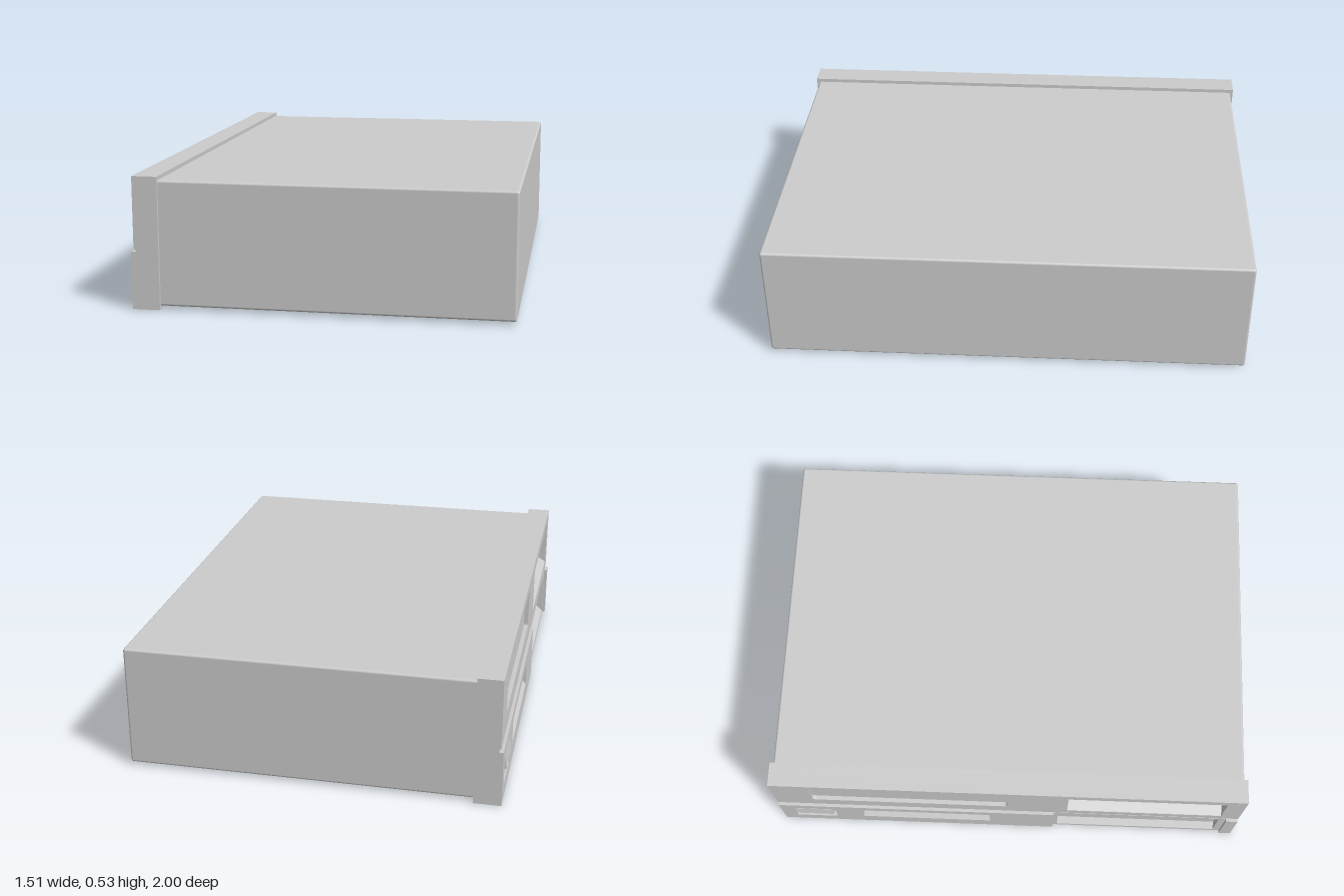
import * as THREE from 'three';
import { RoundedBoxGeometry } from 'three/addons/geometries/RoundedBoxGeometry.js';

const material = new THREE.MeshStandardMaterial({ color: 0xcccccc });

export function createModel() {
  const model = new THREE.Group();
  model.name = 'desktopComputer';

  const add = (name, geometry) => {
    const mesh = new THREE.Mesh(geometry, material);
    mesh.name = name;
    model.add(mesh);
    return mesh;
  };
  // Box given by its limits
  const box = (name, x0, x1, y0, y1, z0, z1) =>
    add(name, new THREE.BoxGeometry(x1 - x0, y1 - y0, z1 - z0)
      .translate((x0 + x1) / 2, (y0 + y1) / 2, (z0 + z1) / 2));
  // Rounded rectangle in the (z, y) plane of the bezel
  const rect = (z0, z1, y0, y1, r = 0, Type = THREE.Path) => {
    const p = new Type();
    p.moveTo(z0 + r, y0);
    const corners = [[z1, y0, 1, 0, 0, 1], [z1, y1, 0, 1, -1, 0], [z0, y1, -1, 0, 0, -1], [z0, y0, 0, -1, 1, 0]];
    for (const [z, y, az, ay, bz, by] of corners) {
      p.lineTo(z - az * r, y - ay * r);
      if (r) p.quadraticCurveTo(z, y, z + bz * r, y + by * r);
    }
    return p;
  };
  // Bezel plate with openings, from its face x0 back to x1
  const plate = (name, x0, x1, outline, holes = []) => {
    const shape = rect(...outline, 0, THREE.Shape);
    for (const h of holes) shape.holes.push(rect(...h));
    const g = new THREE.ExtrudeGeometry(shape, { depth: x1 - x0, bevelEnabled: false, curveSegments: 5 });
    add(name, g.rotateY(-Math.PI / 2).translate(x1, 0, 0));
  };
  // Constant (x, y) profile running along z
  const prism = (name, points, z0, z1) => {
    const shape = new THREE.Shape(points.map(([x, y]) => new THREE.Vector2(x, y)));
    const g = new THREE.ExtrudeGeometry(shape, { depth: z1 - z0, bevelEnabled: false });
    add(name, g.translate(0, 0, z0));
  };

  // Metal case
  add('case', new RoundedBoxGeometry(1.41, 0.5, 1.975, 3, 0.01).translate(0.045, 0.264, 0));

  // Bezel: backing, upper and lower halves with a groove between them
  box('bezelBack', -0.675, -0.64, 0, 0.53, -1, 1);
  plate('upperBezel', -0.74, -0.675, [-1, 1, 0.245, 0.53],
    [[-0.84, 0, 0.32, 0.487, 0.018], [0.256, 0.92, 0.288, 0.485, 0]]);
  box('grooveFloor', -0.733, -0.675, 0.23, 0.245, -1, 1);
  plate('lowerBezel', -0.75, -0.675, [-1, 0.2, 0, 0.23],
    [[-0.94, -0.76, 0.06, 0.185, 0.006], [-0.64, -0.08, 0.08, 0.187, 0]]);
  box('lowerBezelEnd', -0.75, -0.675, 0, 0.23, 0.95, 1);

  // Upper bays: shallow blank cover, and a deeper bay with a sloped sill
  box('blankCover', -0.722, -0.675, 0.315, 0.492, -0.85, 0.01);
  prism('upperBaySill', [[-0.738, 0.288], [-0.675, 0.288], [-0.675, 0.325]], 0.256, 0.92);

  // Lower drive bay: frame around a recessed front with a sloped sill
  plate('driveFrame', -0.738, -0.675, [0.2, 0.95, 0, 0.23], [[0.22, 0.92, 0.02, 0.215, 0]]);
  box('driveFront', -0.71, -0.675, 0.02, 0.215, 0.22, 0.92);
  prism('driveSill', [[-0.736, 0.02], [-0.71, 0.02], [-0.71, 0.045]], 0.22, 0.92);

  // Power rocker, pressed in at the bottom and standing out above
  prism('powerButton', [[-0.72, 0.065], [-0.675, 0.065], [-0.675, 0.18],
    [-0.75, 0.18], [-0.757, 0.125], [-0.735, 0.115]], -0.93, -0.77);

  // Indicator recess with sloped sill and dividing fins
  prism('indicatorSill', [[-0.748, 0.08], [-0.675, 0.08], [-0.675, 0.13], [-0.71, 0.13]], -0.64, -0.08);
  for (let i = 0; i < 6; i++) {
    const z = -0.55 + i * 0.08;
    box('indicatorFin', -0.735, -0.675, 0.125, 0.187, z - 0.008, z + 0.008);
  }

  return model;
}
